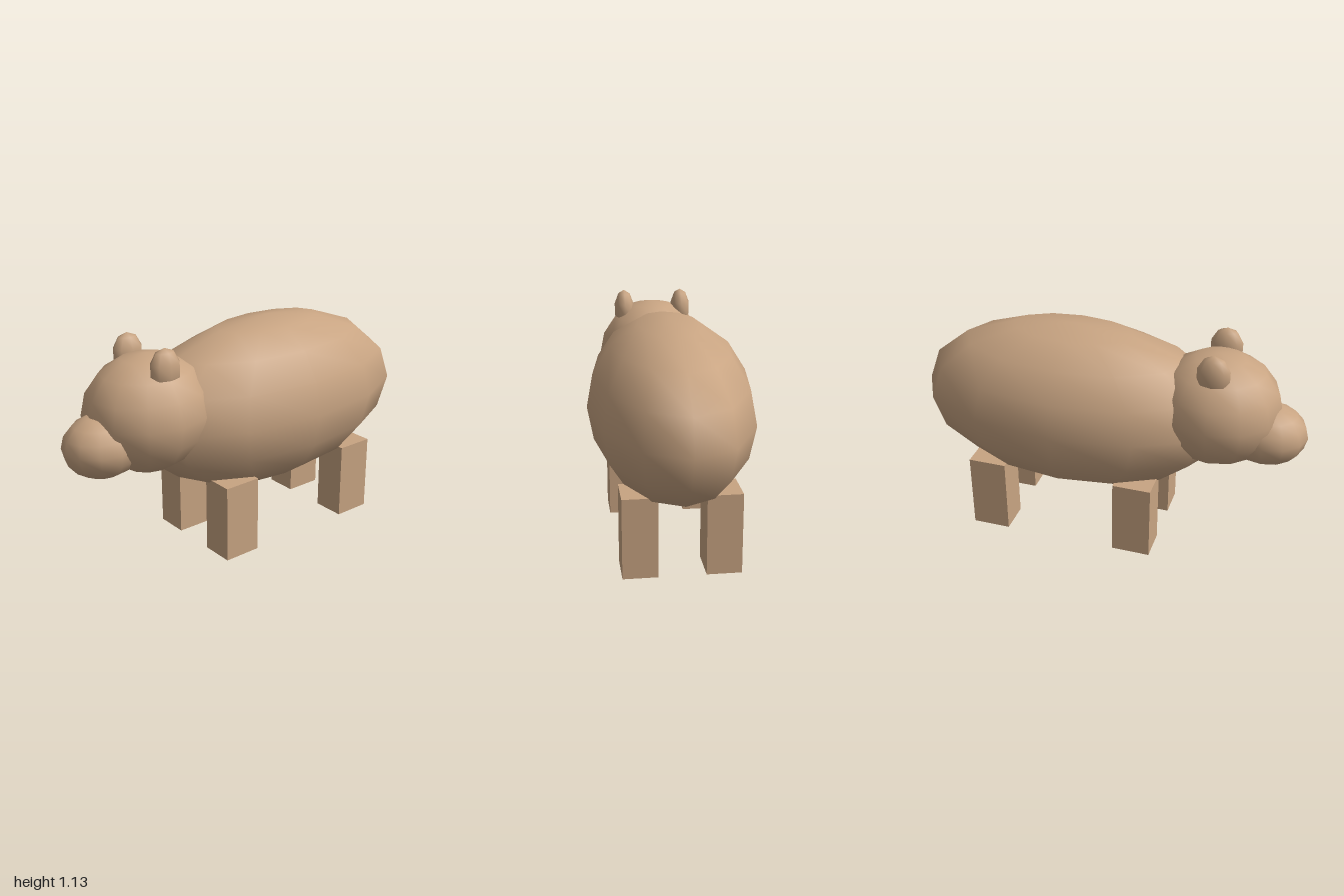
import * as THREE from 'three';

export function createModel() {
  const model = new THREE.Group();
  model.name = 'bear';
  const fur = new THREE.MeshStandardMaterial({ color: 0xc8a482 });

  // Smooth-shaded low-poly ellipsoid
  function ellipsoid(name, center, radii, widthSegments = 12, heightSegments = 8) {
    const geometry = new THREE.SphereGeometry(1, widthSegments, heightSegments);
    geometry.scale(...radii);
    const mesh = new THREE.Mesh(geometry, fur);
    mesh.name = name;
    mesh.position.set(...center);
    model.add(mesh);
  }

  // Body, head and muzzle along the x axis
  ellipsoid('body', [0.19, 0.69, 0], [0.81, 0.433, 0.405]);
  ellipsoid('head', [-0.55, 0.78, 0], [0.32, 0.29, 0.29]);
  ellipsoid('muzzle', [-0.8, 0.675, 0], [0.2, 0.155, 0.17]);

  // Mirrored ears and legs
  const legGeometry = new THREE.BoxGeometry(0.195, 0.395, 0.168);
  for (const side of [1, -1]) {
    ellipsoid('ear', [-0.548, 1.025, side * 0.155], [0.083, 0.105, 0.054], 8, 5);

    for (const [name, x] of [['foreLeg', -0.197], ['hindLeg', 0.578]]) {
      const leg = new THREE.Mesh(legGeometry, fur);
      leg.name = name;
      leg.position.set(x, 0.1975, side * 0.197);
      model.add(leg);
    }
  }
  return model;
}
